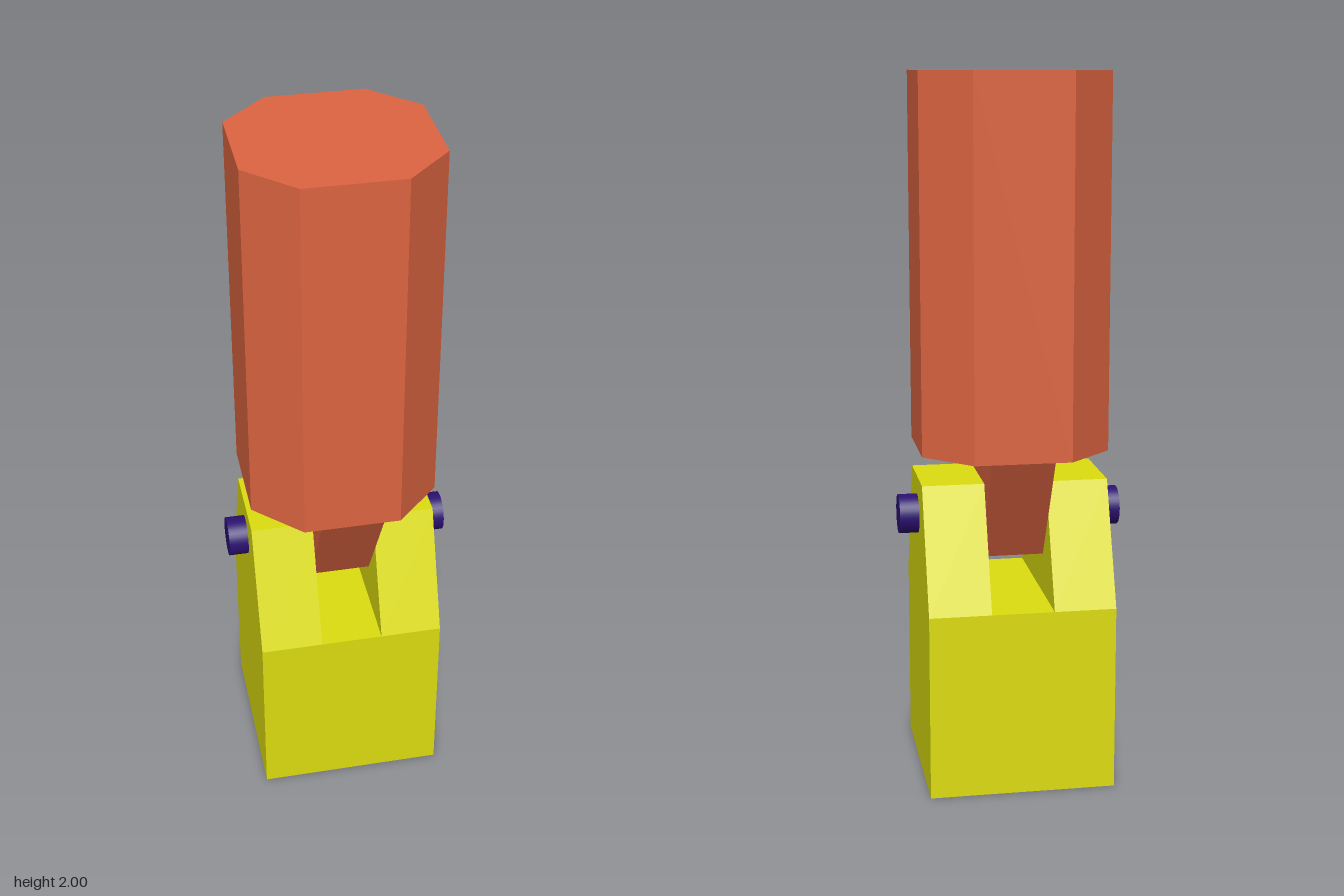
import * as THREE from 'three';

const HALF = 0.263;       // half width of the square section
const SLOT = 0.088;       // half width of the slot and tongue
const FLOOR = 0.53;       // height of the slot floor

const yellow = new THREE.MeshStandardMaterial({ color: 0xdcdc10 });
yellow.name = 'yellow';
const orange = new THREE.MeshStandardMaterial({ color: 0xdc6440 });
orange.name = 'orange';
const violet = new THREE.MeshStandardMaterial({ color: 0x2c1070 });
violet.name = 'violet';

function polygon(points) {
  return new THREE.Shape(points.map(([x, y]) => new THREE.Vector2(x, y)));
}

// Symmetric trapezoid in the z-y plane, extruded along x from x0 to x1
function trapezoid(bottom, top, y0, y1, x0, x1) {
  const shape = polygon([[-bottom, y0], [bottom, y0], [top, y1], [-top, y1]]);
  return new THREE.ExtrudeGeometry(shape, { depth: x1 - x0, bevelEnabled: false })
    .rotateY(Math.PI / 2)
    .translate(x0, 0, 0);
}

export function createModel() {
  const model = new THREE.Group();
  model.name = 'hingedJoint';
  const add = (name, geometry, material) => {
    const mesh = new THREE.Mesh(geometry, material);
    mesh.name = name;
    model.add(mesh);
  };

  // Lower fork: square block with two tapered prongs
  add('forkBlock', new THREE.BoxGeometry(HALF * 2, FLOOR, HALF * 2).translate(0, FLOOR / 2, 0), yellow);
  add('leftProng', trapezoid(HALF, 0.125, FLOOR, 0.87, SLOT, HALF), yellow);
  add('rightProng', trapezoid(HALF, 0.125, FLOOR, 0.87, -HALF, -SLOT), yellow);

  // Hinge pin through prongs and tongue
  add('hingePin', new THREE.CylinderGeometry(0.056, 0.056, 0.636, 32)
    .rotateZ(Math.PI / 2).translate(0, 0.76, 0), violet);

  // Upper arm: chamfered square column with a tapering tongue
  const c = 0.135;
  const section = polygon([
    [HALF, -c], [HALF, c], [c, HALF], [-c, HALF],
    [-HALF, c], [-HALF, -c], [-c, -HALF], [c, -HALF],
  ]);
  add('armColumn', new THREE.ExtrudeGeometry(section, { depth: 1.045, bevelEnabled: false })
    .rotateX(-Math.PI / 2).translate(0, 0.955, 0), orange);
  add('armTongue', trapezoid(0.08, HALF, 0.645, 0.955, -SLOT, SLOT), orange);

  return model;
}
